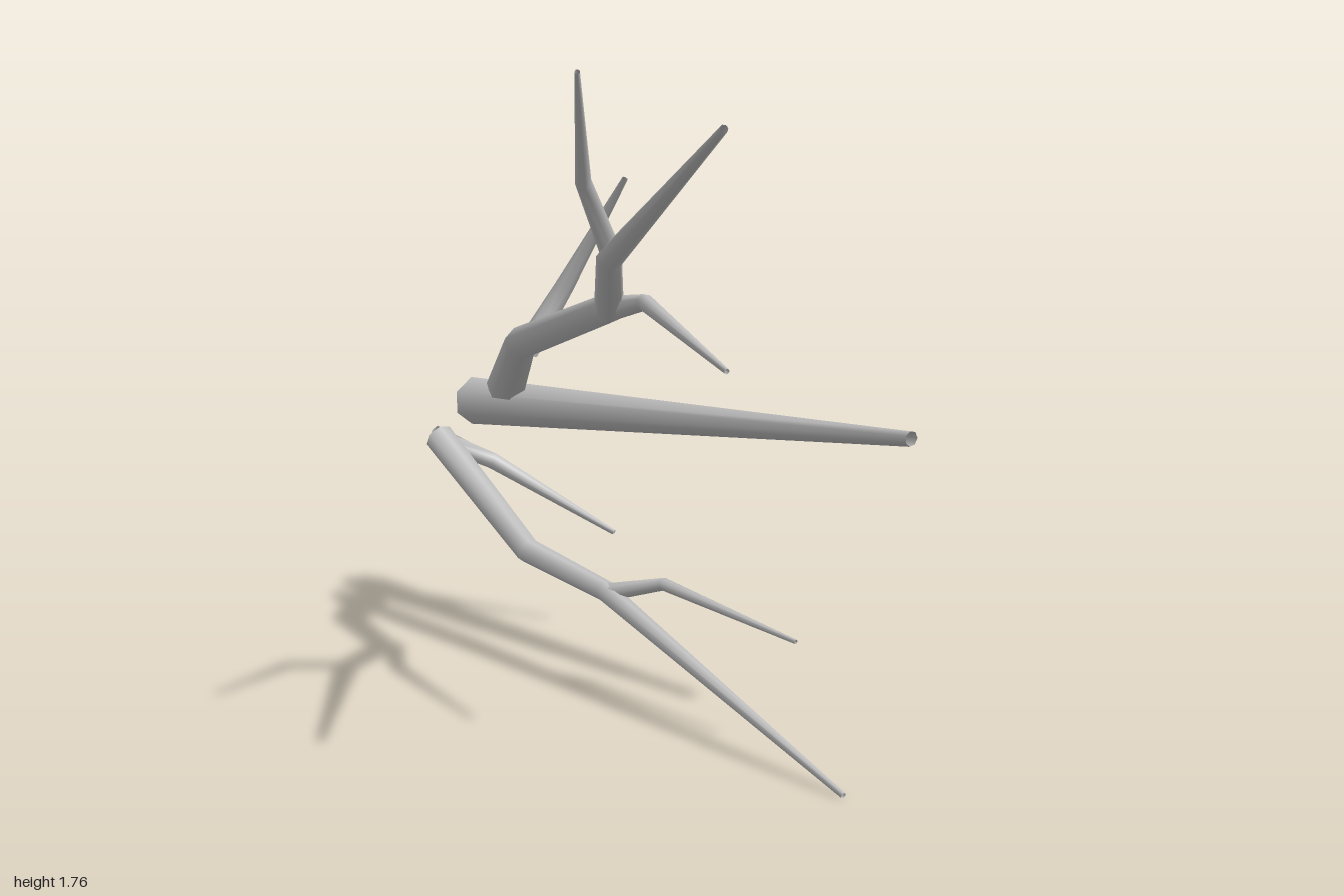
import * as THREE from 'three';

const SIDES = 7;

// Tapered open tube through stations [x, y, z, radius]; axis optionally fixes the plane of every ring.
function taperedTube(stations, axis) {
  const pts = stations.map(s => new THREE.Vector3(s[0], s[1], s[2]));
  const dir = i => pts[i + 1].clone().sub(pts[i]).normalize();
  const last = pts.length - 1;
  const pos = [], index = [];
  pts.forEach((p, i) => {
    const t = axis ? axis.clone() : new THREE.Vector3();
    if (!axis) {
      if (i > 0) t.add(dir(i - 1));
      if (i < last) t.add(dir(i));
      t.normalize();
    }
    const u = new THREE.Vector3(1, 0, 0);
    u.addScaledVector(t, -u.dot(t)).normalize();
    const v = t.clone().cross(u);
    for (let j = 0; j < SIDES; j++) {
      const a = (j / SIDES) * Math.PI * 2, r = stations[i][3];
      const q = p.clone().addScaledVector(u, Math.cos(a) * r).addScaledVector(v, Math.sin(a) * r);
      pos.push(q.x, q.y, q.z);
      if (i < last) {
        const k = (j + 1) % SIDES, b = i * SIDES, c = b + SIDES;
        index.push(b + j, b + k, c + j, b + k, c + k, c + j);
      }
    }
  });
  const g = new THREE.BufferGeometry();
  g.setAttribute('position', new THREE.Float32BufferAttribute(pos, 3));
  g.setIndex(index);
  g.computeVertexNormals();
  return g;
}

export function createModel() {
  const group = new THREE.Group();
  const bark = new THREE.MeshStandardMaterial({ color: 0xbfbfbf, side: THREE.DoubleSide });
  bark.name = 'paleGreyBark';

  const add = (name, stations, axis) => {
    const mesh = new THREE.Mesh(taperedTube(stations, axis), bark);
    mesh.name = name;
    group.add(mesh);
  };

  // Thick straight stem, cut square at both ends
  add('mainStem', [[0.145, 0.715, -0.98, 0.075], [0.468, 0.855, 0.61, 0.02]], new THREE.Vector3(0, 0, 1));

  // Upper bough and its twigs
  add('upperBough', [
    [0.17, 0.775, -0.84, 0.06], [-0.015, 0.985, -0.44, 0.047], [-0.015, 1.14, 0, 0.04],
    [-0.16, 1.3, 0.22, 0.032], [-0.405, 1.655, 0.995, 0.009],
  ]);
  add('upperTwigOuter', [[-0.155, 1.31, 0.225, 0.027], [-0.27, 1.49, 0.28, 0.02], [-0.49, 1.755, 0.6, 0.006]]);
  add('upperTwigLow', [[0.01, 1.14, 0, 0.032], [-0.06, 1.187, 0.225, 0.022], [-0.092, 1.08, 0.6, 0.007]]);
  add('upperTwigTall', [[-0.005, 0.965, -0.43, 0.036], [0.117, 1.135, -0.425, 0.027], [0.133, 1.45, -0.15, 0.008]]);

  // Lower bough and its twigs
  add('lowerBough', [
    [0.005, 0.62, -0.965, 0.045], [0.07, 0.35, -0.555, 0.037],
    [0.115, 0.31, -0.22, 0.03], [0.215, 0.01, 0.685, 0.008],
  ]);
  add('lowerTwigBack', [[-0.01, 0.625, -0.965, 0.032], [0.18, 0.525, -0.945, 0.025], [0.405, 0.34, -0.61, 0.008]]);
  add('lowerTwigFront', [[0.115, 0.305, -0.22, 0.026], [0.19, 0.362, -0.045, 0.018], [0.266, 0.32, 0.43, 0.006]]);

  return group;
}
